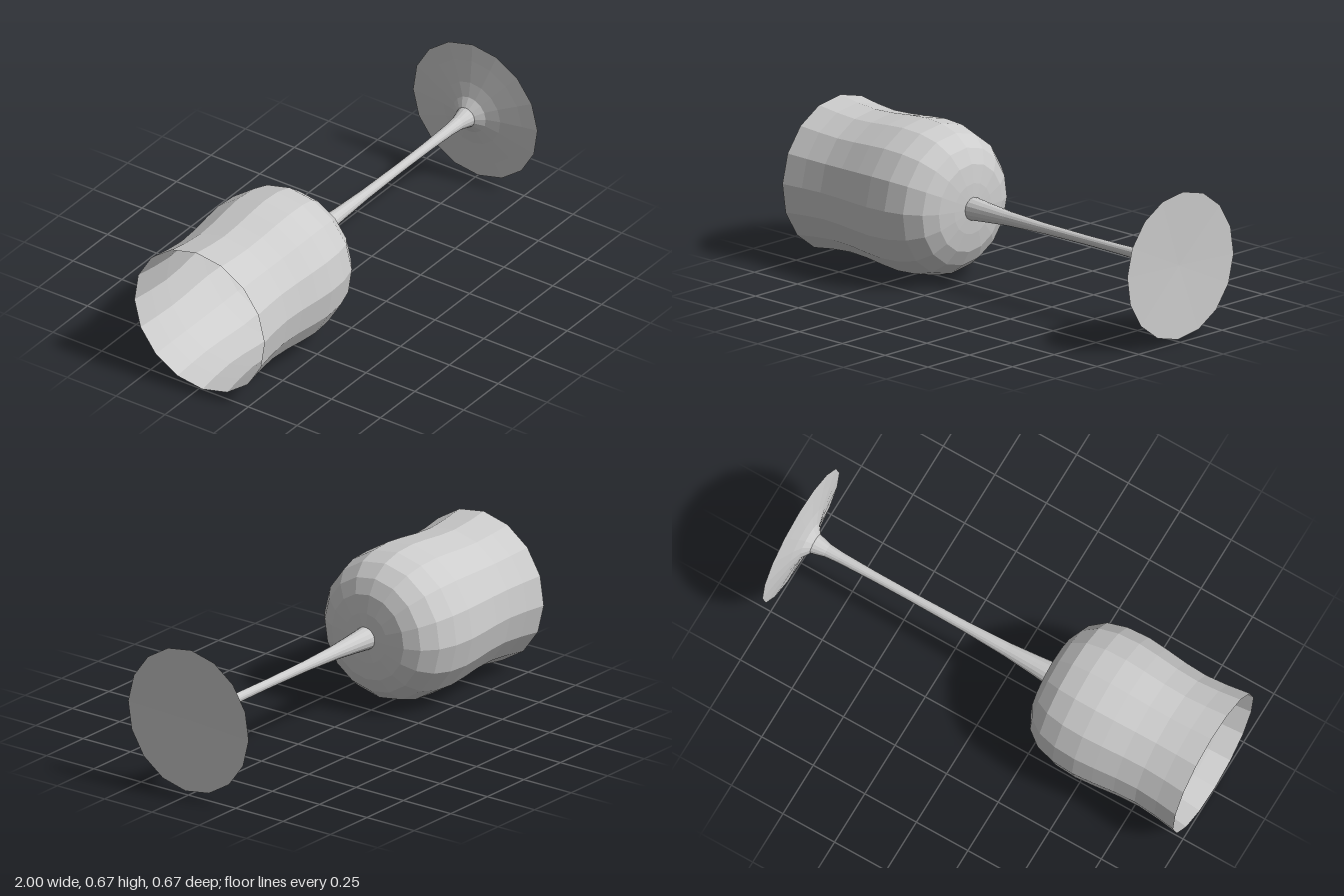
import * as THREE from 'three';

const SIDES = 16;
const AXIS_HEIGHT = 0.333;
const PHASE = THREE.MathUtils.degToRad(-2.7);

export function createModel() {
  const glass = new THREE.MeshStandardMaterial({ color: 0xcccccc, flatShading: true, side: THREE.DoubleSide });
  glass.name = 'pale grey';

  const model = new THREE.Group();
  model.name = 'wineGlass';

  // Turns a profile of [x along the axis, radius] into a part lying along x
  function addTurned(name, profile) {
    const points = profile.map(([x, r]) => new THREE.Vector2(r, x));
    const geometry = new THREE.LatheGeometry(points, SIDES, PHASE);
    geometry.rotateZ(-Math.PI / 2);
    geometry.translate(0, AXIS_HEIGHT, 0);
    const mesh = new THREE.Mesh(geometry, glass);
    mesh.name = name;
    model.add(mesh);
  }

  // Thin open bowl with a waist below the rim and a rounded bottom
  addTurned('bowl', [
    [-1, 0.333], [-0.9, 0.319], [-0.8, 0.311], [-0.7, 0.316], [-0.6, 0.327],
    [-0.51, 0.334], [-0.41, 0.328], [-0.325, 0.304], [-0.26, 0.254],
    [-0.226, 0.19], [-0.213, 0.11], [-0.209, 0.05], [-0.208, 0],
  ]);

  // Slender stem, wider where it meets the bowl
  addTurned('stem', [
    [-0.21, 0.05], [-0.13, 0.042], [0, 0.031], [0.2, 0.023], [0.45, 0.02],
    [0.65, 0.021], [0.81, 0.025], [0.87, 0.03], [0.93, 0.046],
  ]);

  // Flared foot with a slightly hollow underside
  addTurned('foot', [
    [0.93, 0.046], [0.957, 0.084], [0.973, 0.147], [0.989, 0.245], [1, 0.319], [0.992, 0],
  ]);

  return model;
}
